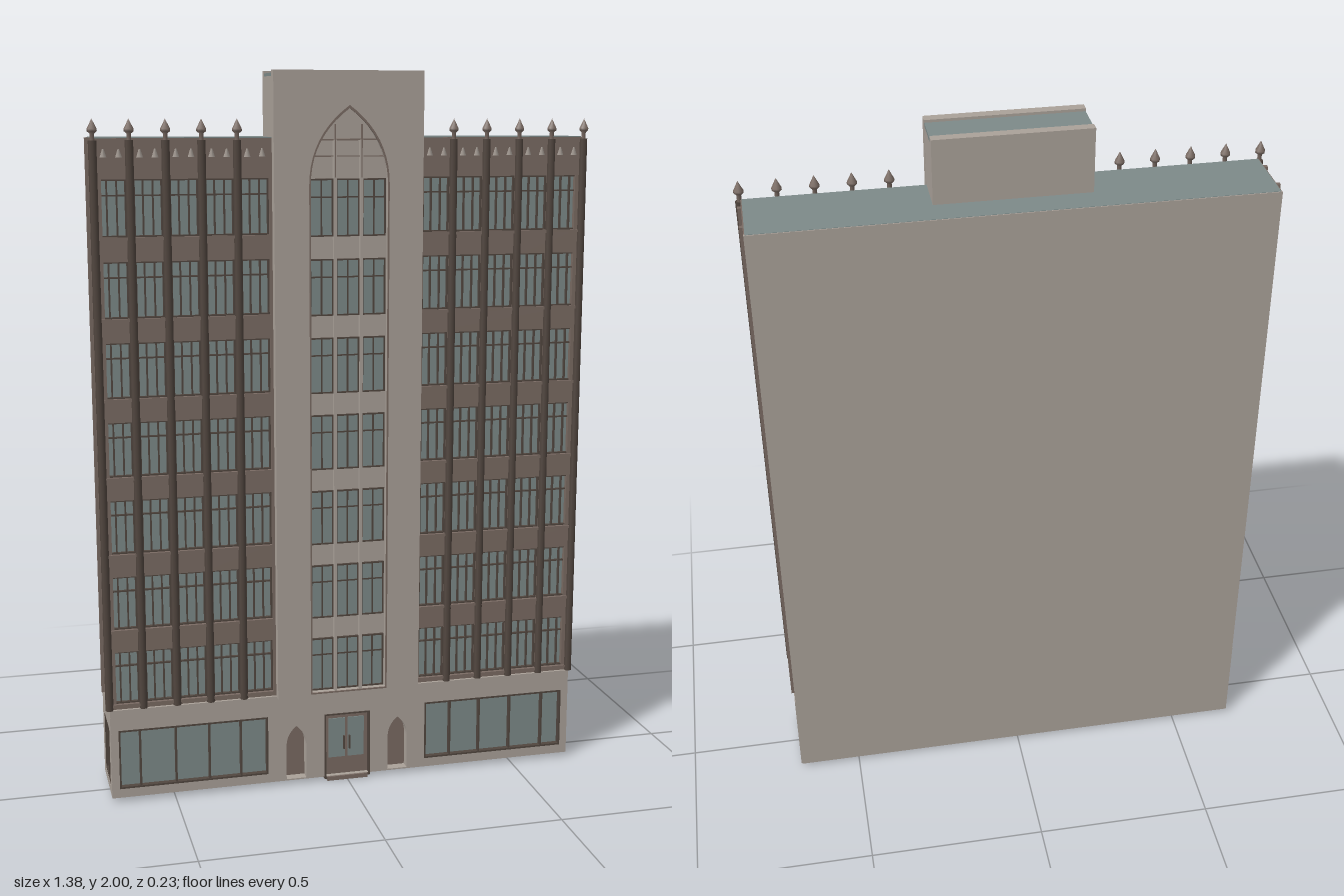
import * as THREE from 'three';
import { mergeGeometries } from 'three/addons/utils/BufferGeometryUtils.js';

const mat = (name, color) => Object.assign(new THREE.MeshStandardMaterial({ color }), { name });
const stone = mat('pale stone', 0xaaa199);
const brick = mat('brown brick', 0x7a6b63);
const dark = mat('dark brown trim', 0x51463f);
const glass = mat('glass and roofing', 0x7d8a89);

const FLOORS = [0, 1, 2, 3, 4, 5, 6].map(i => 0.285 + i * 0.2142);
const WIN_H = 0.15;

function add(parent, name, geometry, material, x = 0, y = 0, z = 0) {
  const m = new THREE.Mesh(geometry, material);
  m.name = name;
  m.position.set(x, y, z);
  parent.add(m);
  return m;
}

// One box given by its extents
function span(x0, x1, y0, y1, z0, z1) {
  return new THREE.BoxGeometry(x1 - x0, y1 - y0, z1 - z0)
    .translate((x0 + x1) / 2, (y0 + y1) / 2, (z0 + z1) / 2);
}
const addSpans = (parent, name, material, list) =>
  add(parent, name, mergeGeometries(list.map(b => span(...b))), material);

function rectPath(x0, x1, y0, y1, Type = THREE.Path) {
  const p = new Type();
  p.moveTo(x0, y0); p.lineTo(x1, y0); p.lineTo(x1, y1); p.lineTo(x0, y1); p.closePath();
  return p;
}

// Pointed arch outline
function archPath(cx, w, y0, spring, apex, Type = THREE.Path) {
  const p = new Type(), c = spring + (apex - spring) * 0.62;
  p.moveTo(cx - w, y0); p.lineTo(cx + w, y0); p.lineTo(cx + w, spring);
  p.quadraticCurveTo(cx + w, c, cx, apex);
  p.quadraticCurveTo(cx - w, c, cx - w, spring);
  p.closePath();
  return p;
}

function slab(shape, holes, depth) {
  shape.holes.push(...holes);
  return new THREE.ExtrudeGeometry(shape, { depth, bevelEnabled: false, curveSegments: 10 });
}

// Frame, mullions (at the given x) and an optional transom around an opening
function frame(x0, x1, y0, y1, z0, z1, mullions, transom, t = 0.005) {
  const list = [
    [x0, x0 + t, y0, y1, z0, z1], [x1 - t, x1, y0, y1, z0, z1],
    [x0, x1, y0, y0 + t, z0, z1], [x0, x1, y1 - t, y1, z0, z1],
  ];
  for (const x of mullions) list.push([x - t / 2, x + t / 2, y0, y1, z0, z1 - 0.001]);
  if (transom) list.push([x0, x1, transom - t / 2, transom + t / 2, z0, z1 - 0.002]);
  return list;
}

// Front wall of one wing: five bays of windows between piers
function wing(parent, s) {
  const g = new THREE.Group();
  g.name = s > 0 ? 'leftWing' : 'rightWing';
  parent.add(g);
  const holes = [], frames = [], sills = [];
  const ornaments = [];
  for (let b = 0; b < 5; b++) {
    const cx = s * (0.63 - b * 0.0945), x0 = cx - 0.038, x1 = cx + 0.038;
    for (const y of FLOORS) {
      holes.push(rectPath(x0, x1, y, y + WIN_H));
      frames.push(...frame(x0, x1, y, y + WIN_H, 0.068, 0.08, [cx - 0.013, cx + 0.013], y + 0.108, 0.004));
      sills.push([x0, x1, y - 0.008, y, 0.084, 0.09]);
    }
    for (const dx of [-0.02, 0.02])
      ornaments.push(new THREE.CylinderGeometry(0.002, 0.009, 0.022, 4).scale(1, 1, 0.4).translate(cx + dx, 1.787, 0.085));
  }
  const a = s * 0.2, b = s * 0.675;
  add(g, 'brickWall', slab(rectPath(Math.min(a, b), Math.max(a, b), 0.27, 1.825, THREE.Shape), holes, 0.02), brick, 0, 0, 0.065);
  addSpans(g, 'windowFrames', dark, frames);
  addSpans(g, 'windowSills', brick, sills);
  add(g, 'parapetOrnaments', mergeGeometries(ornaments), stone);

  // Piers with finials rising above the parapet
  const finial = new THREE.LatheGeometry(
    [[0.006, 0], [0.006, 0.022], [0.013, 0.028], [0.013, 0.034], [0, 0.06]].map(p => new THREE.Vector2(...p)), 8);
  for (let i = 0; i < 5; i++) {
    const x = s * (0.677 - i * 0.0945);
    add(g, 'pier', new THREE.CylinderGeometry(0.011, 0.011, 1.55, 8), dark, x, 1.045, 0.087);
    add(g, 'finial', finial, stone, x, 1.815, 0.087).material = brick;
  }
}

// End wall: built facing +z, then turned to the side
function endWall(parent, s) {
  const g = new THREE.Group();
  g.name = s > 0 ? 'leftEnd' : 'rightEnd';
  g.rotation.y = s * Math.PI / 2;
  parent.add(g);
  const flip = (z0, z1) => s > 0 ? [-z1, -z0] : [z0, z1];
  const [w0, w1] = flip(-0.045, 0.024), mid = (w0 + w1) / 2;
  const [e0, e1] = flip(-0.113, 0.084);
  const frames = FLOORS.flatMap(y => frame(w0, w1, y, y + WIN_H, 0.656, 0.671, [mid], y + 0.108));
  add(g, 'endBrickWall', slab(rectPath(e0, e1, 0.27, 1.825, THREE.Shape),
    FLOORS.map(y => rectPath(w0, w1, y, y + WIN_H)), 0.018), brick, 0, 0, 0.657);
  addSpans(g, 'endWindowFrames', dark, frames);
  addSpans(g, 'endPiers', brick, [[-0.071, -0.059], [0.034, 0.046]].map(p => [...flip(...p), 0.27, 1.825, 0.67, 0.684]));

  // Ground floor end with its shop window
  const [b0, b1] = flip(-0.113, 0.092), [g0, g1] = flip(-0.08, 0.058);
  add(g, 'endBaseWall', slab(rectPath(b0, b1, 0.012, 0.27, THREE.Shape), [rectPath(g0, g1, 0.035, 0.205)], 0.02), stone, 0, 0, 0.657);
  addSpans(g, 'endShopGlass', glass, [[g0, g1, 0.035, 0.205, 0.659, 0.665]]);
  addSpans(g, 'endShopFrame', dark, frame(g0, g1, 0.035, 0.205, 0.662, 0.676, [(g0 + g1) / 2]));
}

// Ground floor front: shop windows, niches and door
function base(parent) {
  const g = new THREE.Group();
  g.name = 'groundFloor';
  parent.add(g);
  const holes = [rectPath(-0.065, 0.065, 0.013, 0.2)];
  for (const s of [-1, 1]) {
    const x0 = s > 0 ? 0.232 : -0.655, x1 = s > 0 ? 0.655 : -0.232;
    holes.push(rectPath(x0, x1, 0.038, 0.21), archPath(s * 0.15, 0.029, 0.016, 0.115, 0.175));
    addSpans(g, 'shopGlass', glass, [[x0, x1, 0.038, 0.21, 0.07, 0.078]]);
    addSpans(g, 'shopFrame', dark, frame(x0, x1, 0.038, 0.21, 0.074, 0.094, [0.31, 0.4, 0.495, 0.595].map(x => s * x)));
    addSpans(g, 'nicheBack', brick, [[s * 0.15 - 0.035, s * 0.15 + 0.035, 0.012, 0.18, 0.055, 0.063]]);
  }
  add(g, 'baseFront', slab(rectPath(-0.675, 0.675, 0.012, 0.27, THREE.Shape), holes, 0.028), stone, 0, 0, 0.065);
  addSpans(g, 'ceiling', brick, [[-0.665, 0.665, 0.262, 0.271, -0.11, 0.07]]);
  // Entrance
  addSpans(g, 'doors', brick, [[-0.065, 0.065, 0, 0.2, 0.066, 0.08], [-0.06, 0.06, 0, 0.012, 0.07, 0.098]]);
  addSpans(g, 'doorGlass', glass, [[-0.052, -0.004, 0.065, 0.183, 0.078, 0.083], [0.004, 0.052, 0.065, 0.183, 0.078, 0.083]]);
  addSpans(g, 'doorFrame', dark, frame(-0.067, 0.067, 0.006, 0.202, 0.075, 0.096, [], 0, 0.004));
  addSpans(g, 'doorHandles', dark, [-0.008, 0.008].map(x => [x - 0.002, x + 0.002, 0.09, 0.13, 0.08, 0.09]));
}

// Central tower with its tall pointed recess
function tower(parent) {
  const g = new THREE.Group();
  g.name = 'tower';
  parent.add(g);
  addSpans(g, 'towerBody', stone, [[-0.205, 0.205, 0.271, 1.985, -0.035, 0.088], [-0.205, 0.205, 1.98, 2, -0.036, -0.01]]);
  addSpans(g, 'towerRoof', glass, [[-0.205, 0.205, 1.984, 1.993, -0.012, 0.094]]);
  add(g, 'towerFront', slab(rectPath(-0.206, 0.206, 0.268, 2, THREE.Shape),
    [archPath(0, 0.11, 0.275, 1.7, 1.908)], 0.027), stone, 0, 0, 0.086);
  add(g, 'archMoulding', slab(archPath(0, 0.111, 0.274, 1.7, 1.91, THREE.Shape),
    [archPath(0, 0.107, 0.278, 1.7, 1.902)], 0.004), brick, 0, 0, 0.111);
  const panes = [], frames = [];
  for (const cx of [-0.073, 0, 0.073]) {
    for (const y of FLOORS) {
      panes.push([cx - 0.032, cx + 0.032, y - 0.006, y + 0.146, 0.086, 0.091]);
      frames.push(...frame(cx - 0.033, cx + 0.033, y - 0.007, y + 0.147, 0.087, 0.095, [cx], y + 0.098, 0.004));
    }
  }
  addSpans(g, 'towerGlass', glass, panes);
  addSpans(g, 'towerWindowFrames', dark, frames);
  addSpans(g, 'towerMullions', stone, [-0.0365, 0.0365].map(x => [x - 0.004, x + 0.004, 0.275, 1.82, 0.087, 0.103]));
  addSpans(g, 'tracery', brick, [
    [-0.082, 0.082, 1.818, 1.822, 0.087, 0.098], [-0.1, 0.1, 1.775, 1.778, 0.087, 0.096],
    ...[-0.0365, 0.0365].map(x => [x - 0.0015, x + 0.0015, 1.72, 1.86, 0.1, 0.105]),
  ]);
}

export function createModel() {
  const model = new THREE.Group();
  model.name = 'officeBuilding';
  // Glazed core seen through the window openings, roof and blank back wall
  addSpans(model, 'glazedCore', glass, [[-0.66, 0.66, 0.268, 1.815, -0.108, 0.07]]);
  addSpans(model, 'roof', glass, [[-0.672, 0.672, 1.815, 1.827, -0.113, 0.082]]);
  addSpans(model, 'backWall', stone, [[-0.675, 0.675, 0.012, 1.826, -0.116, -0.107]]);
  base(model);
  tower(model);
  for (const s of [-1, 1]) {
    wing(model, s);
    endWall(model, s);
  }
  return model;
}
